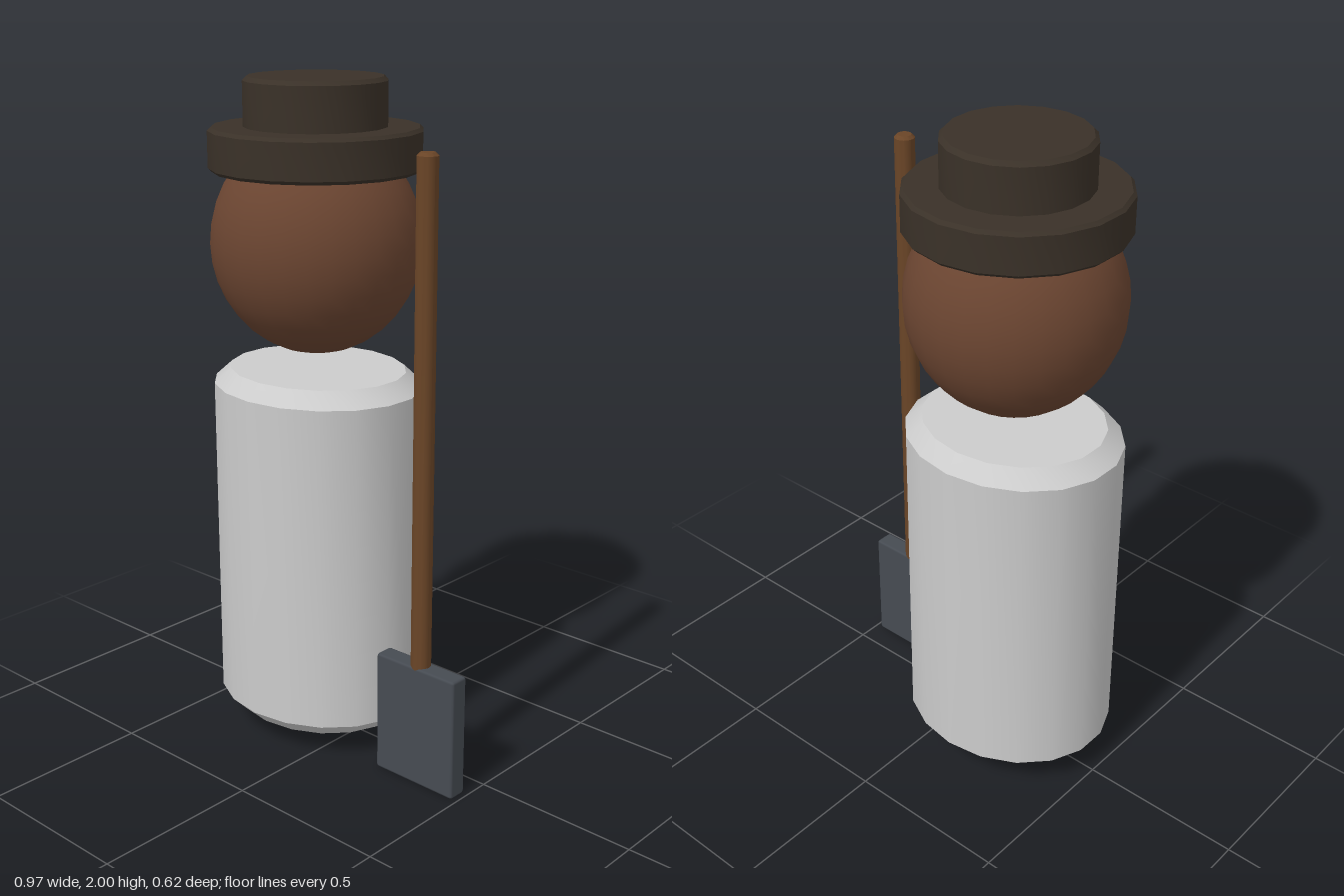
import * as THREE from 'three';
import { toCreasedNormals } from 'three/addons/utils/BufferGeometryUtils.js';
import { RoundedBoxGeometry } from 'three/addons/geometries/RoundedBoxGeometry.js';

const paint = (color) => new THREE.MeshStandardMaterial({ color });

// Upright drum with chamfered rims, from y0 to y1
function drum(radius, y0, y1, bevel, sides) {
  const inner = radius - bevel;
  const profile = [
    [0, y0], [inner, y0], [radius, y0 + bevel],
    [radius, y1 - bevel], [inner, y1], [0, y1],
  ].map(([r, y]) => new THREE.Vector2(r, y));
  return toCreasedNormals(new THREE.LatheGeometry(profile, sides), 0.6);
}

function addPart(parent, name, geometry, material) {
  const mesh = new THREE.Mesh(geometry, material);
  mesh.name = name;
  parent.add(mesh);
  return mesh;
}

export function createModel() {
  const model = new THREE.Group();
  model.name = 'figureWithShovel';

  const felt = paint(0x3a3128);

  // Figure: body, head and hat share one vertical axis
  const figure = new THREE.Group();
  figure.name = 'figure';
  figure.position.x = -0.16;
  model.add(figure);

  // Body is a little wider than deep
  const bodyGeometry = drum(0.29, 0.065, 1.15, 0.046, 18).scale(1.144, 1, 1);
  addPart(figure, 'body', bodyGeometry, paint(0xcccccc));

  const head = addPart(figure, 'head', new THREE.SphereGeometry(1, 28, 18), paint(0x6b4531));
  head.scale.set(0.31, 0.33, 0.31);
  head.position.y = 1.53;

  // Hat
  addPart(figure, 'hatBrim', drum(0.31, 1.735, 1.86, 0.01, 18), felt);
  addPart(figure, 'hatCrown', drum(0.208, 1.84, 2, 0.012, 18), felt);

  // Shovel standing at the figure's left side
  const shovel = new THREE.Group();
  shovel.name = 'shovel';
  shovel.position.set(0.34, 0, 0.103);
  model.add(shovel);

  addPart(shovel, 'shovelHandle', drum(0.03, 0.3, 1.84, 0.009, 18), paint(0x6a4527));
  const blade = addPart(shovel, 'shovelBlade',
    new RoundedBoxGeometry(0.288, 0.373, 0.06, 1, 0.008), paint(0x464b52));
  blade.position.y = 0.1865;

  return model;
}
